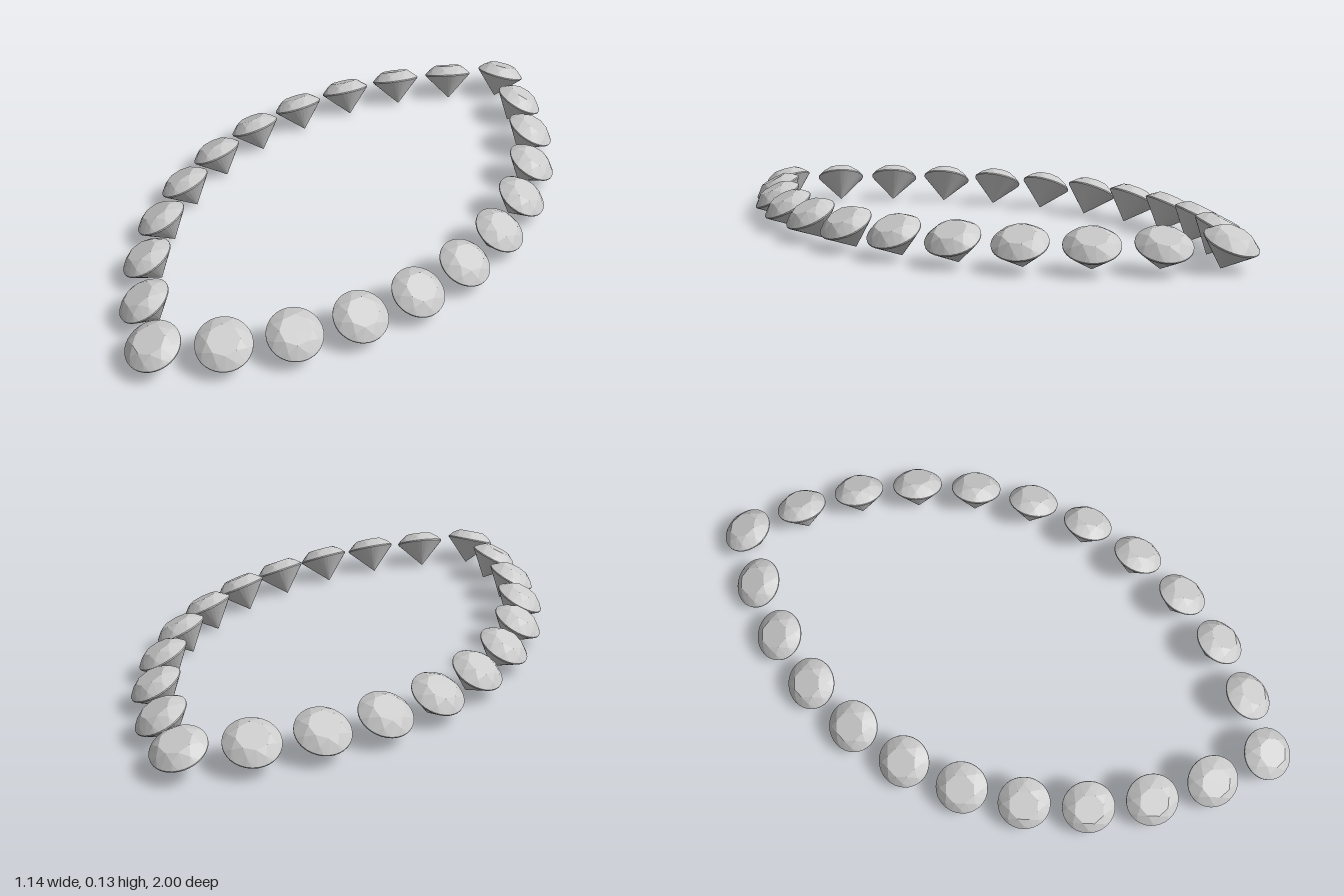
import * as THREE from 'three';

const GIRDLE_R = 0.082, SIDES = 32;

// One brilliant-cut stone, girdle centred on the origin, table facing +y
function gemGeometry() {
  const pos = [];
  const tri = (...pts) => pts.forEach((p) => pos.push(p.x, p.y, p.z));
  const ring = (n, r, y, shift = 0) => Array.from({ length: n }, (_, i) => {
    const a = ((i + shift) / n) * Math.PI * 2;
    return new THREE.Vector3(Math.sin(a) * r, y, Math.cos(a) * r);
  });
  const table = ring(8, 0.047, 0.032);
  const mid = ring(8, 0.067, 0.018, 0.5);
  const upper = ring(SIDES, GIRDLE_R, 0.002);
  const lower = ring(SIDES, GIRDLE_R, -0.002);
  const top = new THREE.Vector3(0, 0.032, 0);
  const culet = new THREE.Vector3(0, -0.086, 0);
  const step = SIDES / 8;

  // Crown: table, star facets, kites and upper girdle facets
  for (let k = 0; k < 8; k++) {
    const next = table[(k + 1) % 8], prevMid = mid[(k + 7) % 8], g = upper[k * step];
    tri(top, table[k], next);
    tri(table[k], mid[k], next);
    tri(table[k], prevMid, g);
    tri(table[k], g, mid[k]);
    for (let j = k * step; j < (k + 1) * step; j++) tri(mid[k], upper[j], upper[(j + 1) % SIDES]);
  }
  // Thin girdle band and pointed pavilion
  for (let j = 0; j < SIDES; j++) {
    const n = (j + 1) % SIDES;
    tri(upper[j], lower[j], lower[n]);
    tri(upper[j], lower[n], upper[n]);
    tri(lower[j], culet, lower[n]);
  }
  const geo = new THREE.BufferGeometry();
  geo.setAttribute('position', new THREE.Float32BufferAttribute(pos, 3));
  geo.computeVertexNormals();
  return geo;
}

export function createModel() {
  const group = new THREE.Group();
  group.name = 'gemstoneRing';
  const geo = gemGeometry();
  const mat = new THREE.MeshStandardMaterial({ color: 0xcccccc, flatShading: true });
  const up = new THREE.Vector3(0, 1, 0);

  // Place a stone with its table leaning outward along (nx, nz)
  const addGem = (name, x, z, nx, nz, tiltDeg) => {
    const t = THREE.MathUtils.degToRad(tiltDeg);
    const gem = new THREE.Mesh(geo, mat);
    gem.name = name;
    gem.position.set(x, 0.081, z);
    gem.quaternion.setFromUnitVectors(up, new THREE.Vector3(nx * Math.sin(t), Math.cos(t), nz * Math.sin(t)));
    group.add(gem);
  };

  // Two circular arcs meeting in points at the front and back
  const arcR = 1.096, arcOffset = 0.596;
  for (const side of [1, -1]) {
    for (let i = 0; i < 10; i++) {
      const a = THREE.MathUtils.degToRad(10.42 * (i - 4.5));
      const nx = side * Math.cos(a), nz = Math.sin(a);
      addGem(side > 0 ? 'leftGem' : 'rightGem', side * (arcR * Math.cos(a) - arcOffset), arcR * nz, nx, nz, 27);
    }
  }
  addGem('frontGem', 0, 0.923, 0, 1, 22);
  addGem('backGem', 0, -0.923, 0, -1, 22);
  return group;
}
